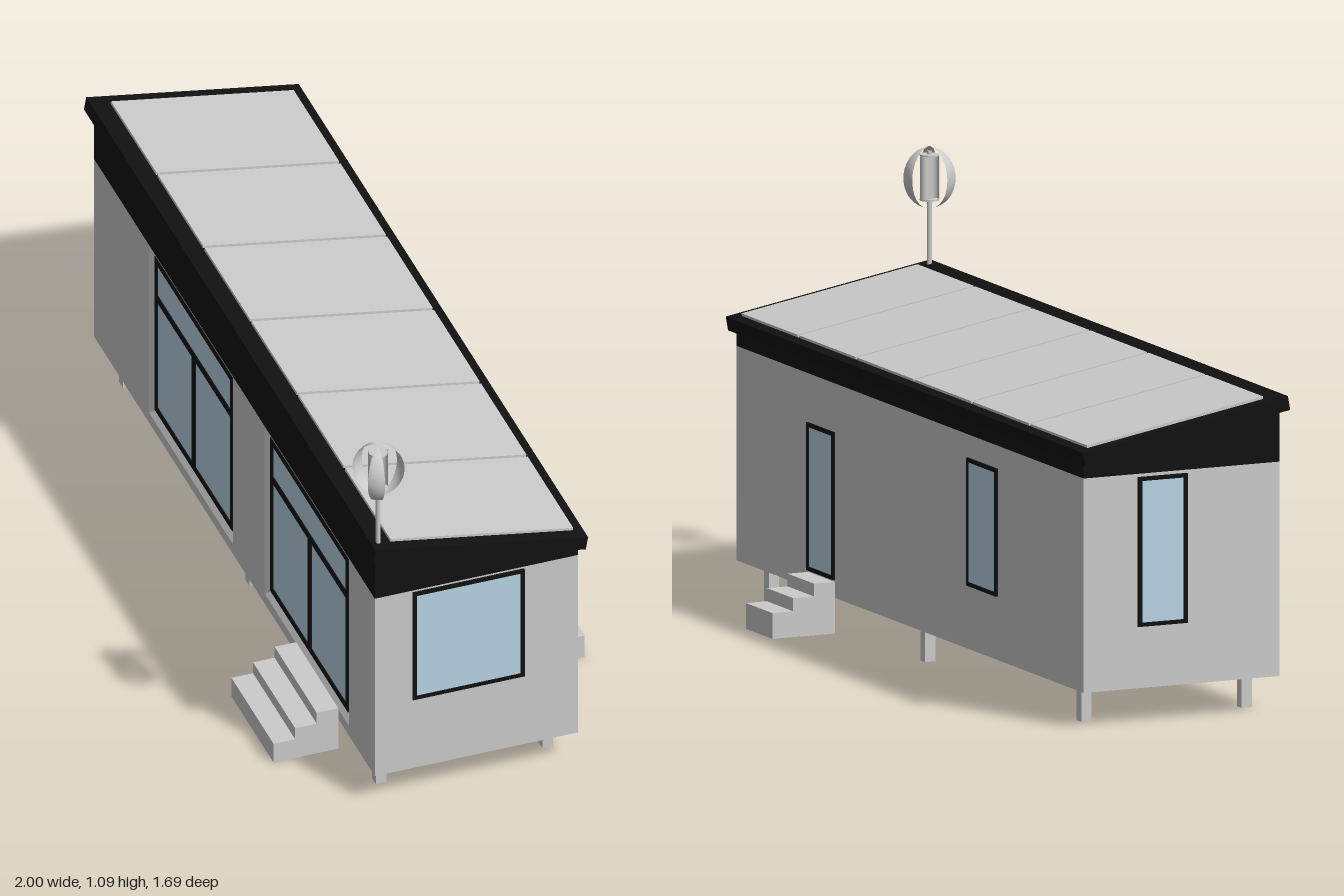
import * as THREE from 'three';

const mat = (color, side = THREE.FrontSide) =>
  new THREE.MeshStandardMaterial({ color, side, flatShading: true });
const grey = mat(0xcccccc);
const greyThin = new THREE.MeshStandardMaterial({ color: 0xcccccc, side: THREE.DoubleSide });
const black = mat(0x111111);
const glass = mat(0xb8d4e6);

// House size: half length, half width, floor and wall-top heights
const HL = 1.0, HW = 0.2685, FLOOR = 0.09, TOP = 0.63, RECESS = 0.015;
const ANGLE = 0.626;

function add(parent, name, geometry, material, x = 0, y = 0, z = 0) {
  const mesh = new THREE.Mesh(geometry, material);
  mesh.name = name;
  mesh.position.set(x, y, z);
  parent.add(mesh);
  return mesh;
}

const box = (parent, name, material, w, h, d, x, y, z) =>
  add(parent, name, new THREE.BoxGeometry(w, h, d), material, x, y, z);

// Framed pane facing +z, centred on its own origin
function makeWindow(name, w, h, t, divided = false) {
  const g = new THREE.Group();
  g.name = name;
  const d = 0.012;
  box(g, 'glassPane', glass, w - t, h - t, 0.006, 0, 0, 0);
  for (const s of [-1, 1]) {
    box(g, 'frameSide', black, t, h, d, s * (w - t) / 2, 0, 0);
    box(g, 'frameRail', black, w, t, d, 0, s * (h - t) / 2, 0);
  }
  if (divided) {
    const ty = h * 0.245;
    box(g, 'transom', black, w, 0.02, d, 0, ty, 0);
    box(g, 'mullion', black, 0.024, ty + h / 2, d, 0, (ty - h / 2) / 2, 0);
  }
  return g;
}

// Sloped reveal between an outer rectangle at z = 0 and an inner one set back
function makeReveal(ow, oh, iw, ih, depth) {
  const ring = (w, h, z) => [[-w, -h, z], [w, -h, z], [w, h, z], [-w, h, z]]
    .map(([a, b, c]) => [a / 2, b / 2, c]);
  const o = ring(ow, oh, 0), n = ring(iw, ih, -depth), pos = [];
  for (let i = 0; i < 4; i++) {
    const j = (i + 1) % 4;
    pos.push(...o[i], ...o[j], ...n[j], ...o[i], ...n[j], ...n[i]);
  }
  const geo = new THREE.BufferGeometry();
  geo.setAttribute('position', new THREE.Float32BufferAttribute(pos, 3));
  geo.computeVertexNormals();
  return geo;
}

function rectPath(Type, x0, y0, x1, y1) {
  return new Type([[x0, y0], [x1, y0], [x1, y1], [x0, y1]].map(p => new THREE.Vector2(...p)));
}

function makeWalls(house) {
  box(house, 'wallBody', grey, 2 * HL, TOP - FLOOR, 2 * HW - RECESS,
    0, (TOP + FLOOR) / 2, -RECESS / 2);

  // Front wall skin with two large recessed windows
  const skin = rectPath(THREE.Shape, -HL, FLOOR, HL, TOP);
  const ow = 0.6, y0 = 0.12, y1 = 0.627, iw = 0.553, wy0 = 0.143, wy1 = 0.61;
  for (const cx of [-0.308, 0.515]) {
    skin.holes.push(rectPath(THREE.Path, cx - ow / 2, y0, cx + ow / 2, y1));
    add(house, 'windowReveal', makeReveal(ow, y1 - y0, iw, wy1 - wy0, RECESS - 0.001),
      greyThin, cx, (y0 + y1) / 2, HW);
    const w = makeWindow('frontWindow', iw, wy1 - wy0, 0.017, true);
    w.position.set(cx, (wy0 + wy1) / 2, HW - RECESS + 0.003);
    house.add(w);
  }
  add(house, 'frontWall', new THREE.ExtrudeGeometry(skin, { depth: RECESS, bevelEnabled: false }),
    grey, 0, 0, HW - RECESS);

  // Other openings: name, width, bottom, top, x, z, facing
  const openings = [
    ['endWindow', 0.295, 0.3, 0.625, HL, 0.022, Math.PI / 2],
    ['narrowEndWindow', 0.135, 0.245, 0.622, -HL, -0.053, -Math.PI / 2],
    ['backDoor', 0.154, 0.135, 0.507, 0.51, -HW, Math.PI],
    ['backWindow', 0.172, 0.25, 0.572, -0.42, -HW, Math.PI],
  ];
  for (const [name, w, b, t, x, z, turn] of openings) {
    const win = makeWindow(name, w, t - b, 0.01);
    win.position.set(x, (b + t) / 2, z);
    win.rotation.y = turn;
    house.add(win);
  }
}

function makeRoof(house) {
  // Dark band between wall top and sloping roof
  const band = new THREE.Shape([[-HW, TOP], [HW, TOP], [HW, 0.675], [-HW, 0.77]]
    .map(p => new THREE.Vector2(...p)));
  const geo = new THREE.ExtrudeGeometry(band, { depth: 2 * HL, bevelEnabled: false });
  geo.rotateY(Math.PI / 2).translate(-HL, 0, 0);
  add(house, 'fasciaBand', geo, black);

  // Sloping slab with six panels
  const roof = new THREE.Group();
  roof.name = 'roof';
  roof.position.y = 0.732;
  roof.rotation.x = -0.175;
  house.add(roof);
  box(roof, 'roofSlab', black, 2.06, 0.036, 0.57, 0, 0, 0);
  for (let i = 0; i < 6; i++) {
    box(roof, 'roofPanel', grey, 1 / 3 - 0.01, 0.01, 0.49, (i - 2.5) / 3, 0.02, -0.012);
  }
}

// Three solid steps leading away from a wall, rising toward it
function makeSteps(house, name, x, width, dir, heights) {
  const g = new THREE.Group();
  g.name = name;
  const run = 0.057;
  heights.forEach((h, i) =>
    box(g, 'step', grey, width, h, run, x, h / 2, dir * (HW + run * (2.5 - i))));
  house.add(g);
}

function makeTurbine(house) {
  const g = new THREE.Group();
  g.name = 'windTurbine';
  g.position.set(0.995, 0, 0.258);
  g.rotation.y = ANGLE;
  house.add(g);
  add(g, 'mast', new THREE.CylinderGeometry(0.006, 0.006, 0.34, 12), greyThin, 0, 0.91, 0);

  const rotor = new THREE.Group();
  rotor.name = 'rotor';
  rotor.position.y = 1.014;
  g.add(rotor);
  // Bowed outer blades and half-round inner scoops
  const arc = [];
  for (let i = 0; i <= 20; i++) {
    const a = -Math.PI / 2 + Math.PI * i / 20;
    arc.push(new THREE.Vector2(Math.max(0.004, 0.066 * Math.cos(a)), 0.077 * Math.sin(a)));
  }
  for (let i = 0; i < 3; i++) {
    const phi = -Math.PI / 2 + i * Math.PI * 2 / 3;
    add(rotor, 'outerBlade', new THREE.LatheGeometry(arc, 8, phi - 0.33, 0.66), greyThin);
    add(rotor, 'innerScoop',
      new THREE.CylinderGeometry(0.013, 0.013, 0.11, 10, 1, true, phi, Math.PI),
      greyThin, 0.014 * Math.sin(phi), 0, 0.014 * Math.cos(phi));
  }
  for (const s of [-1, 1]) {
    add(rotor, 'rotorPlate', new THREE.CylinderGeometry(0.024, 0.024, 0.004, 18),
      greyThin, 0, s * 0.056, 0);
  }
}

export function createModel() {
  const model = new THREE.Group();
  model.name = 'cabin';
  const house = new THREE.Group();
  house.name = 'house';
  house.position.z = -0.0075;
  house.rotation.y = -ANGLE;
  model.add(house);

  makeWalls(house);
  makeRoof(house);
  makeSteps(house, 'frontSteps', 0.59, 0.3, 1, [0.057, 0.09, 0.123]);
  makeSteps(house, 'backSteps', 0.51, 0.152, -1, [0.065, 0.098, 0.13]);

  // Foundation posts
  for (const x of [-0.9, 0, 0.9]) {
    for (const z of [-0.22, 0.22]) box(house, 'post', grey, 0.028, FLOOR, 0.028, x, FLOOR / 2, z);
  }
  makeTurbine(house);
  return model;
}
